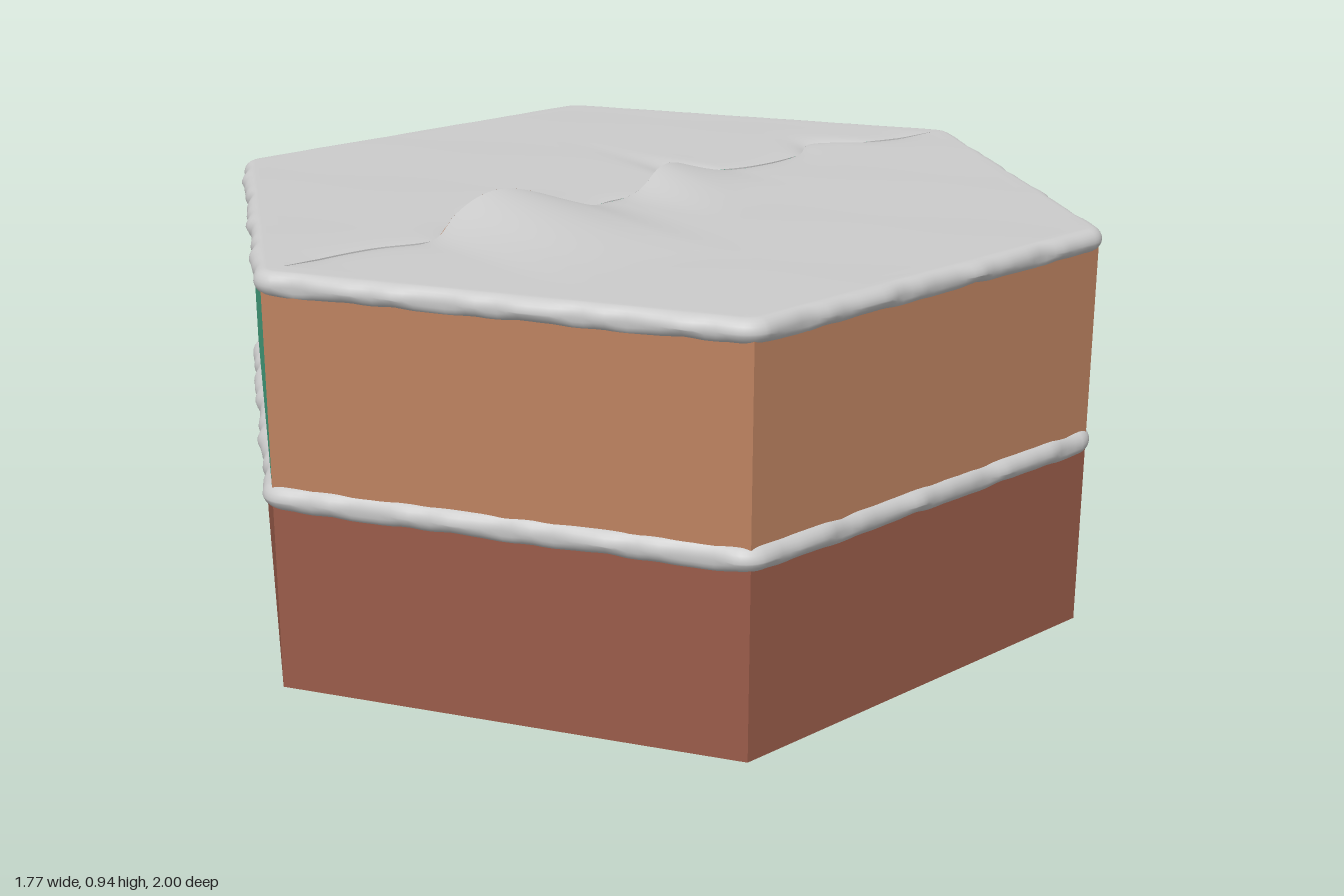
import * as THREE from 'three';
import { mergeVertices } from 'three/addons/utils/BufferGeometryUtils.js';

const GREY = 0xcccccc, RED = 0x9a5c4a, BROWN = 0xbd8260, GREEN = 0x48a683;
const bump = (v, mid, half) => Math.abs(v - mid) < half ? Math.cos((v - mid) / half * Math.PI / 2) ** 2 : 0;

// Smooth surface from a grid of points; fn(s, t) with s, t in 0..1
function surface(rows, cols, fn) {
  const pos = [], idx = [];
  for (let i = 0; i <= rows; i++)
    for (let j = 0; j <= cols; j++) pos.push(...fn(i / rows, j / cols));
  for (let i = 0; i < rows; i++)
    for (let j = 0; j < cols; j++) {
      const a = i * (cols + 1) + j, b = a + cols + 1;
      idx.push(a, b, a + 1, b, b + 1, a + 1);
    }
  let g = new THREE.BufferGeometry();
  g.setAttribute('position', new THREE.Float32BufferAttribute(pos, 3));
  g.setIndex(idx);
  g = mergeVertices(g, 1e-5);
  g.computeVertexNormals();
  return g;
}

// Hexagonal layer, whole or half, with a corner towards the front
function prism(radius, y0, y1, sides, start) {
  const g = new THREE.CylinderGeometry(radius, radius, y1 - y0, sides, 1, false, start, sides * Math.PI / 3);
  return g.translate(0, (y0 + y1) / 2, 0);
}

// Lumpy rounded bead running round the hexagon
function rim(yMid, half, apothem, seed) {
  const depth = 0.06, core = (apothem - depth) / Math.cos(Math.PI / 6), path = [];
  const corner = k => new THREE.Vector2(Math.sin(k * Math.PI / 3), Math.cos(k * Math.PI / 3)).multiplyScalar(core);
  for (let k = 0; k < 6; k++) {
    for (let i = 0; i < 6; i++)
      path.push({ p: corner(k), a: (k - 0.5 + i / 6) * Math.PI / 3, s: k });
    for (let i = 0; i < 44; i++)
      path.push({ p: corner(k).lerp(corner(k + 1), i / 44), a: (k + 0.5) * Math.PI / 3, s: k + i / 44 });
  }
  return surface(path.length, 14, (s, t) => {
    const { p, a, s: d } = path[Math.round(s * path.length) % path.length];
    const w = d * Math.PI / 3;
    const lump = 0.0035 * (Math.sin(17 * w + seed) + Math.sin(41 * w + 2 * seed) * 0.7 + Math.sin(67 * w + 5 * seed) * 0.5);
    let out = 0, up = t < 0.5 ? -half : half, soft = 0;
    if (t > 0.01 && t < 0.99) {
      const q = ((t * 14 - 1) / 12 - 0.5) * Math.PI;
      soft = Math.cos(q);
      out = depth - half + half * soft + lump * soft;
      up = half * Math.sin(q) + (q < 0 ? lump * 0.8 : 0);
    }
    return [p.x + Math.sin(a) * out, yMid + up, p.y + Math.cos(a) * out];
  });
}

// Split in the top sheet: x offset along z
const seamCurve = new THREE.SplineCurve([
  [0, -0.98], [-0.02, -0.86], [-0.05, -0.75], [-0.11, -0.63], [-0.05, -0.52], [-0.04, -0.35], [-0.08, -0.2],
  [-0.05, -0.09], [0, 0.02], [0.0, 0.12], [0.025, 0.21], [-0.02, 0.28], [-0.045, 0.38], [-0.03, 0.5],
  [0.02, 0.6], [-0.01, 0.72], [-0.015, 0.85], [0, 0.98]
].map(p => new THREE.Vector2(...p)));
const seamPoints = seamCurve.getPoints(400);
const seamX = z => {
  const i = seamPoints.findIndex(p => p.y >= z);
  if (i < 1) return 0;
  const a = seamPoints[i - 1], b = seamPoints[i];
  return a.x + (b.x - a.x) * (z - a.y) / (b.y - a.y);
};
const SHEET = 0.97, TOP = 0.889;
const halfWidth = z => Math.min(0.84, (SHEET - Math.abs(z)) * Math.sqrt(3));
const zAt = s => (s * 2 - 1) * SHEET;
const edgeFade = z => Math.min(1, (SHEET - Math.abs(z)) / 0.12);
const gap = z => 0.04 * Math.sqrt(bump(z, 0.4, 0.2));
const ripple = (x, z) => 0.0012 * Math.sin(11 * x + 4 * z) * Math.sin(9 * z - 3 * x);

// Sunken left lip and lifted right lip of the split
function leftY(x, z) {
  const d = Math.max(0, seamX(z) - gap(z) - x);
  const dip = 0.005 + 0.018 * bump(z, -0.2, 0.09) + 0.012 * bump(z, -0.64, 0.14) + 0.008 * bump(z, 0.3, 0.25);
  const reach = 0.035 + 0.07 * bump(z, -0.2, 0.09);
  return TOP + (ripple(x, z) - dip * Math.exp(-d / reach)) * edgeFade(z);
}
function rightY(x, z) {
  const d = Math.max(0, x - seamX(z));
  const fall = reach => Math.max(0, 1 - d / reach) ** 1.4;
  const lift = 0.056 * bump(z, 0.38, 0.26) * fall(0.52) + 0.035 * bump(z, -0.1, 0.2) * fall(0.3)
    + 0.004 * bump(z, -0.62, 0.2) * fall(0.15);
  const dip = 0.008 * Math.exp(-d / 0.03) * (1 - bump(z, 0.38, 0.26)) * (1 - bump(z, -0.1, 0.2));
  return TOP + (ripple(x, z) + lift - dip) * edgeFade(z);
}

export function createModel() {
  const group = new THREE.Group();
  const add = (name, geometry, color, options = {}) => {
    const mesh = new THREE.Mesh(geometry, new THREE.MeshStandardMaterial({ color, ...options }));
    mesh.name = name;
    group.add(mesh);
  };
  const flat = { flatShading: true }, open = { side: THREE.DoubleSide };

  // Solid layers
  add('lowerLayer', prism(0.995, 0, 0.42, 6, 0), RED, flat);
  add('upperLayerBrownHalf', prism(0.995, 0.42, 0.85, 3, 0), BROWN, flat);
  add('upperLayerGreenHalf', prism(0.995, 0.42, 0.85, 3, Math.PI), GREEN, flat);

  // Lumpy beads between and above the layers
  add('middleFilling', rim(0.418, 0.03, 0.876, 1.3), GREY, open);
  add('topRim', rim(0.8625, 0.0265, 0.873, 4.1), GREY, open);

  // Top sheet on both sides of the split
  add('topSheetLeftOfSplit', surface(200, 44, (s, t) => {
    const z = zAt(s), w = halfWidth(z), lip = Math.max(-w, seamX(z) - gap(z));
    const x = lip + (-w - lip) * (1 - t) ** 1.5;
    return [x, leftY(x, z), z];
  }), GREY, open);
  add('topSheetRightOfSplit', surface(200, 44, (s, t) => {
    const z = zAt(s), w = halfWidth(z), lip = Math.max(-w, Math.min(w, seamX(z)));
    const x = lip + (w - lip) * t ** 1.5;
    return [x, rightY(x, z), z];
  }), GREY, open);

  // Faces closing the split: brown under the raised flap, grey elsewhere
  const wall = (z0, z1) => surface(60, 4, (s, t) => {
    const z = z0 + (z1 - z0) * s, xr = seamX(z), xl = xr - gap(z);
    const yl = leftY(xl, z), yr = rightY(xr, z);
    return [xl + (xr - xl) * t, yl + (yr - yl) * t, z];
  });
  add('splitFilling', wall(0.2, 0.6), BROWN, open);
  add('splitEdgeBack', wall(-0.94, 0.2), GREY, open);
  add('splitEdgeFront', wall(0.6, 0.94), GREY, open);
  return group;
}
